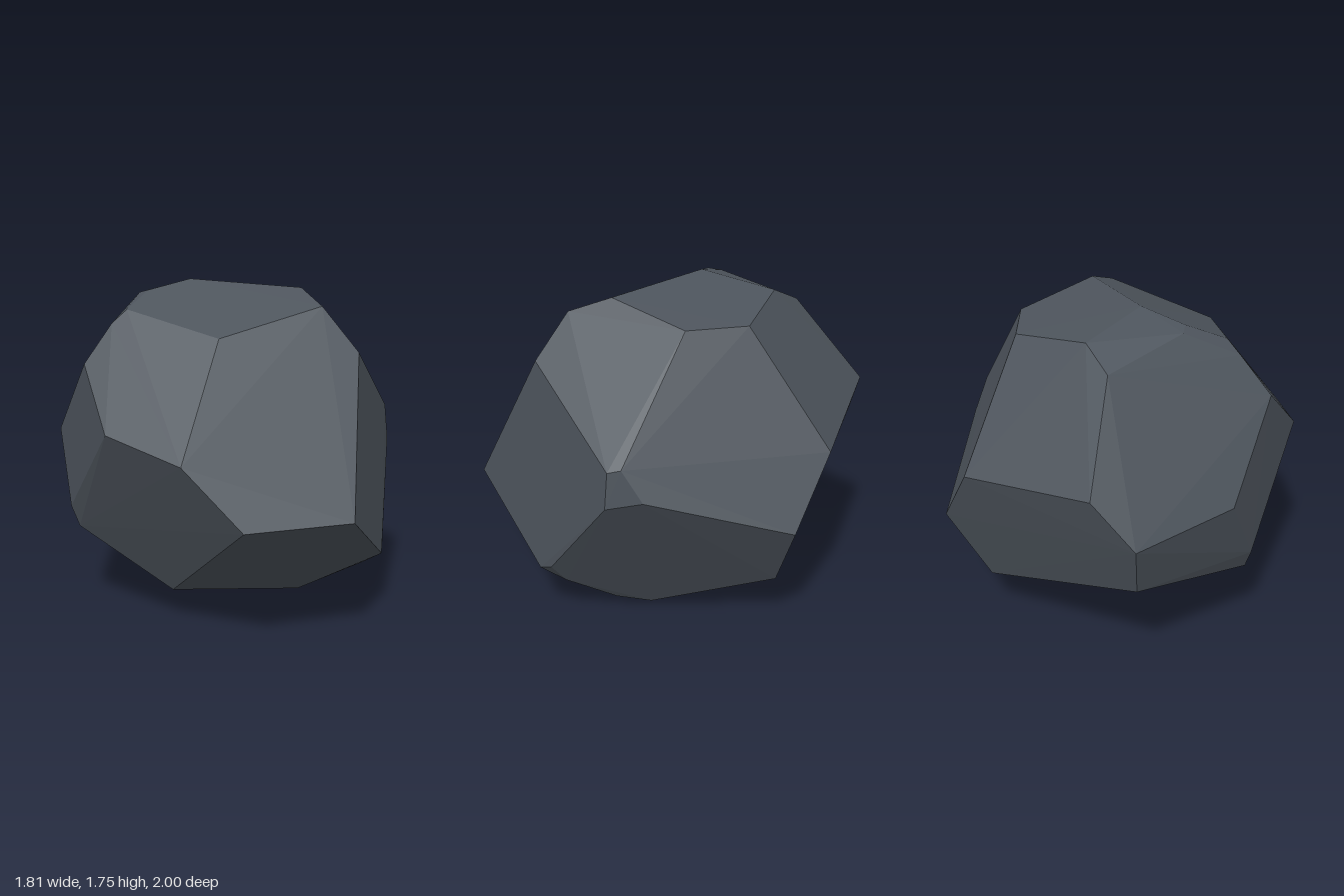
import * as THREE from 'three';
import { ConvexGeometry } from 'three/addons/geometries/ConvexGeometry.js';

// Chiselled boulder: the convex hull of its corner points, one flat normal per facet.
export function createModel() {
  const slate = new THREE.MeshStandardMaterial({ color: 0x4d545c });
  slate.name = 'slate';

  // Crown
  const crown = [
    [-0.22, 1.755, -0.14], [0.29, 1.715, 0.2], [0.31, 1.63, 0.43], [-0.28, 1.49, 0.51],
    [0.46, 1.63, -0.23], [0.285, 1.625, -0.51], [-0.16, 1.69, -0.55], [-0.34, 1.6, -0.64],
    [-0.49, 1.685, -0.19], [-0.46, 1.7, -0.12], [-0.585, 1.63, -0.04], [-0.62, 1.61, 0.03],
    [-0.7, 1.54, 0.025], [-0.86, 1.34, 0.07],
  ];
  // Widest band around the middle
  const girth = [
    [0.46, 1.4, 0.56], [0.24, 0.63, 1], [-0.33, 0.63, 1], [-0.58, 0.93, 0.83],
    [-0.845, 1.03, 0.44], [-0.905, 0.93, -0.39], [-0.68, 0.9, -0.94], [-0.47, 1.135, -1],
    [0.31, 1.01, -0.95], [0.56, 0.65, -0.83], [0.89, 0.89, -0.14], [0.885, 1.05, -0.03],
    [0.89, 1.03, 0.04], [0.905, 0.84, 0.05],
  ];
  // Underside
  const base = [
    [-0.905, 0.54, -0.15], [-0.865, 0.43, -0.13], [-0.47, 0.16, 0.31], [0.34, 0, 0.08],
    [0.39, 0.03, -0.03], [0.45, 0.065, 0.15], [0.605, 0.22, 0.38], [0.645, 0.3, 0.51],
    [0.69, 0.34, 0.43], [0.37, 0.27, -0.71], [-0.625, 0.6, -0.835],
  ];

  const corners = [...crown, ...girth, ...base].map((p) => new THREE.Vector3(...p));
  const boulder = new THREE.Mesh(new ConvexGeometry(corners), slate);
  boulder.name = 'boulder';

  const model = new THREE.Group();
  model.name = 'rock';
  model.add(boulder);
  return model;
}
